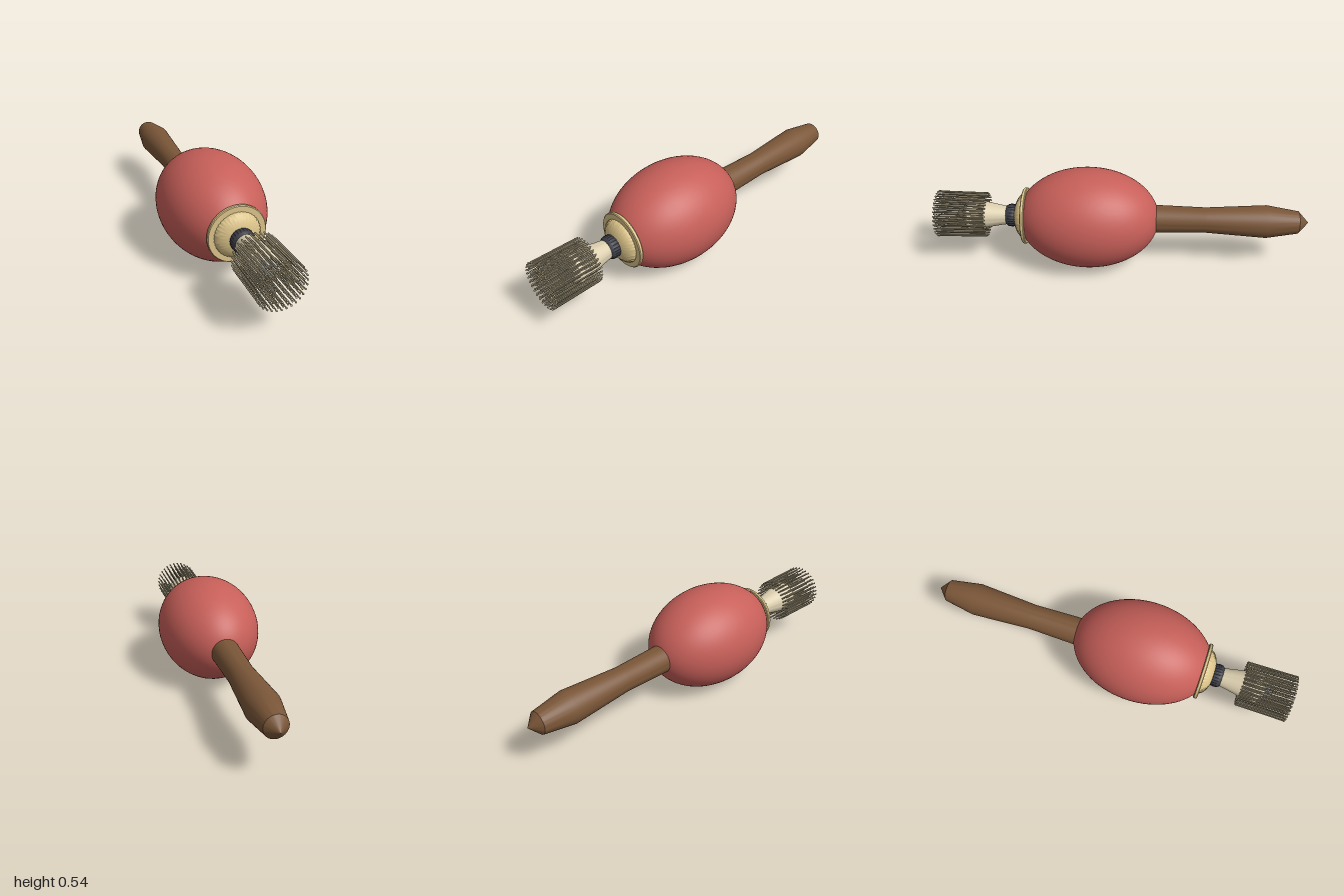
import * as THREE from 'three';
import { toCreasedNormals, mergeGeometries } from 'three/addons/utils/BufferGeometryUtils.js';

const paint = (color) => new THREE.MeshStandardMaterial({ color });

// Turned part along +z from [radius, z] points in order of rising z; flutes ripple the radius
function turned(name, color, points, { segments = 48, flutes = 0, depth = 0, crease = 0.6 } = {}) {
  const lathe = new THREE.LatheGeometry(points.map(([r, z]) => new THREE.Vector2(r, z)), segments);
  if (flutes) {
    const p = lathe.attributes.position;
    for (let i = 0; i < p.count; i++) {
      const k = 1 + depth * Math.cos(flutes * Math.atan2(p.getZ(i), p.getX(i)));
      p.setX(i, p.getX(i) * k);
      p.setZ(i, p.getZ(i) * k);
    }
  }
  lathe.rotateX(Math.PI / 2);
  const mesh = new THREE.Mesh(toCreasedNormals(lathe, crease), paint(color));
  mesh.name = name;
  return mesh;
}

// Concentric rings of thin rods with rounded tips, splayed very slightly
function bristles() {
  const rings = [[0.034, 9], [0.059, 16], [0.084, 23], [0.105, 28], [0.122, 32]];
  const parts = [];
  const up = new THREE.Vector3(0, 1, 0);
  rings.forEach(([radius, count], ring) => {
    for (let i = 0; i < count; i++) {
      const a = (i / count) * Math.PI * 2 + Math.PI / 2 + ring * 0.11;
      const x = Math.cos(a) * radius, y = Math.sin(a) * radius;
      const tip = new THREE.Vector3(x, y, 0.995);
      const base = new THREE.Vector3(x * 0.96, y * 0.96, 0.73);
      const dir = tip.clone().sub(base);
      const rod = new THREE.CylinderGeometry(0.003, 0.0042, dir.length(), 6);
      rod.applyQuaternion(new THREE.Quaternion().setFromUnitVectors(up, dir.clone().normalize()));
      rod.translate(...base.add(tip).multiplyScalar(0.5).toArray());
      const bead = new THREE.SphereGeometry(0.005, 8, 6);
      bead.translate(tip.x, tip.y, tip.z);
      parts.push(rod, bead);
    }
  });
  const mesh = new THREE.Mesh(mergeGeometries(parts), paint(0xb5a888));
  mesh.name = 'bristles';
  return mesh;
}

export function createModel() {
  const model = new THREE.Group();
  model.name = 'bristleTool';
  const axis = new THREE.Group();
  axis.name = 'assembly';
  axis.position.y = 0.273;
  model.add(axis);

  // Egg-shaped body
  const body = new THREE.Mesh(new THREE.SphereGeometry(0.272, 64, 40).rotateX(Math.PI / 2), paint(0xc75f59));
  body.name = 'body';
  body.scale.z = 1.4;
  body.position.z = 0.18;
  axis.add(body);

  // Wooden handle with pointed end
  axis.add(turned('handle', 0x7a5638, [
    [0, -1], [0.06, -0.945], [0.088, -0.775], [0.068, -0.45], [0.075, -0.18], [0.075, -0.1],
  ]));

  // Flange with fluted dome
  axis.add(turned('flange', 0xdcc48a, [
    [0, 0.51], [0.148, 0.51], [0.152, 0.514], [0.152, 0.526], [0.148, 0.53], [0, 0.53],
  ], { segments: 64 }));
  const dome = [];
  for (let i = 0; i <= 8; i++) {
    const a = (i / 8) * Math.PI / 2;
    dome.push([0.12 * Math.cos(a), 0.525 + 0.058 * Math.sin(a)]);
  }
  axis.add(turned('domeCap', 0xdcc48a, dome, { segments: 160, flutes: 40, depth: 0.015, crease: 0.9 }));

  // Dark ribbed collar
  axis.add(turned('collar', 0x3b3b45, [
    [0, 0.568], [0.05, 0.568], [0.059, 0.578], [0.061, 0.595], [0.059, 0.612], [0.05, 0.624], [0, 0.624],
  ], { segments: 96, flutes: 24, depth: 0.02 }));

  // Flared neck with rounded front and metal ball
  axis.add(turned('neck', 0xddd0b0, [
    [0.048, 0.61], [0.056, 0.66], [0.07, 0.73], [0.085, 0.81], [0.086, 0.822],
    [0.078, 0.838], [0.062, 0.85], [0.04, 0.857], [0, 0.86],
  ]));
  const ball = new THREE.Mesh(new THREE.SphereGeometry(0.05, 32, 20), paint(0xa8a8ac));
  ball.name = 'ball';
  ball.position.z = 0.845;
  axis.add(ball);

  axis.add(bristles());
  return model;
}
